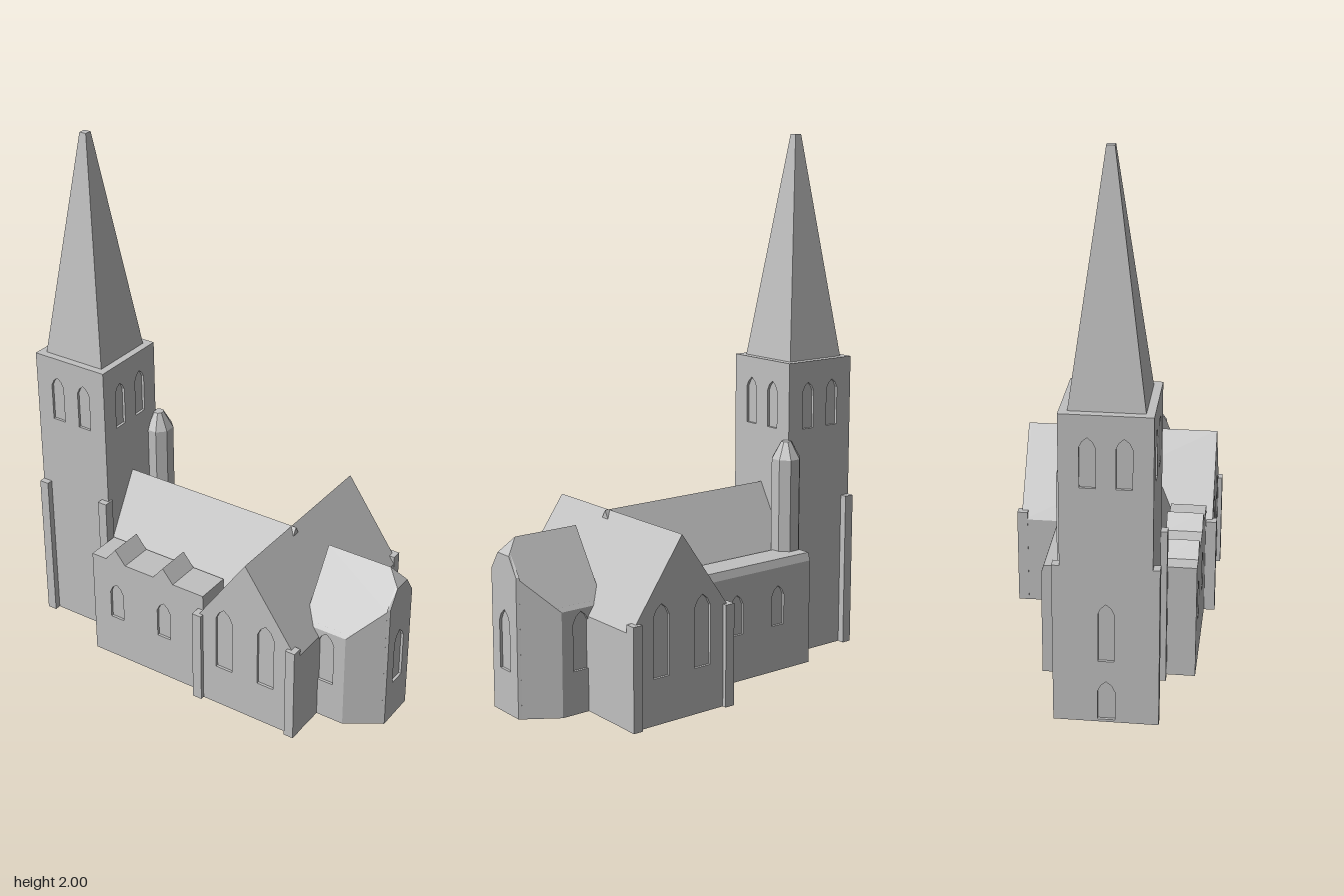
import * as THREE from 'three';
import { ConvexGeometry } from 'three/addons/geometries/ConvexGeometry.js';

const D = 0.01; // depth of the window recesses

export function createModel() {
  const church = new THREE.Group();
  church.name = 'church';
  const stone = new THREE.MeshStandardMaterial({ color: 0xc0c0c0, flatShading: true });
  stone.name = 'stone';

  function add(name, geometry, x = 0, y = 0, z = 0, rotY = 0) {
    const mesh = new THREE.Mesh(geometry, stone);
    mesh.name = name;
    mesh.position.set(x, y, z);
    mesh.rotation.y = rotY;
    church.add(mesh);
    return mesh;
  }

  // box given by its limits
  function block(name, x0, x1, y0, y1, z0, z1) {
    add(name, new THREE.BoxGeometry(x1 - x0, y1 - y0, z1 - z0),
      (x0 + x1) / 2, (y0 + y1) / 2, (z0 + z1) / 2);
  }

  const outline = (pts) => new THREE.Shape(pts.map(([x, y]) => new THREE.Vector2(x, y)));

  // solid of constant section, running from z = 0 to z = depth
  const prism = (pts, depth) =>
    new THREE.ExtrudeGeometry(outline(pts), { depth, bevelEnabled: false });

  // pointed window opening [centre, sill, apex, width]
  function lancet([c, y0, y1, w]) {
    const h = w / 2, spring = y1 - w * 0.65;
    const path = new THREE.Path();
    path.moveTo(c - h, y0);
    path.lineTo(c + h, y0);
    path.lineTo(c + h, spring);
    path.lineTo(c + h * 0.62, spring + (y1 - spring) * 0.6);
    path.lineTo(c, y1);
    path.lineTo(c - h * 0.62, spring + (y1 - spring) * 0.6);
    path.lineTo(c - h, spring);
    path.closePath();
    return path;
  }

  // wall skin with window openings; its outer face lies at local z = 0.
  // "flare" may shift the inner corners to mitre the skin with its neighbours.
  function panel(name, pts, windows, x, z, rotY, flare) {
    const shape = outline(pts);
    shape.holes = windows.map(lancet);
    const g = new THREE.ExtrudeGeometry(shape, { depth: D, bevelEnabled: false });
    g.translate(0, 0, -D);
    if (flare) {
      const p = g.attributes.position, v = new THREE.Vector3();
      for (let i = 0; i < p.count; i++) {
        v.fromBufferAttribute(p, i);
        if (v.z < -D / 2) {
          flare(v);
          p.setXYZ(i, v.x, v.y, v.z);
        }
      }
      g.computeVertexNormals();
    }
    add(name, g, x, 0, z, rotY);
  }

  const rect = (x0, x1, h) => [[x0, 0], [x1, 0], [x1, h], [x0, h]];

  // tower with paired belfry windows on all four sides
  const TX = -0.592, TZ = 0.06, TH = 0.158, TOP = 1.15;
  block('towerCore', TX - TH + D, TX + TH - D, 0, TOP, TZ - TH + D, TZ + TH - D);
  const belfry = [[-0.061, 0.89, 1.07, 0.055], [0.061, 0.89, 1.07, 0.055]];
  for (let i = 0; i < 4; i++) {
    const a = i * Math.PI / 2, half = i % 2 ? TH - D : TH;
    const windows = [...belfry];
    if (i === 3) windows.push([0, 0.24, 0.46, 0.055], [0, 0.01, 0.16, 0.06]); // west window and door
    panel('towerWall', rect(-half, half, TOP), windows,
      TX + Math.sin(a) * TH, TZ + Math.cos(a) * TH, a);
  }

  // spire
  const spire = new THREE.CylinderGeometry(0.014 * Math.SQRT2, 0.129 * Math.SQRT2, 0.85, 4);
  spire.rotateY(Math.PI / 4);
  add('spire', spire, TX, TOP + 0.425, TZ);

  // tower buttresses
  block('towerButtress', -0.75, -0.712, 0, 0.6, 0.2, 0.242);
  block('towerButtress', -0.465, -0.428, 0, 0.6, 0.2, 0.242);
  block('towerButtress', -0.75, -0.712, 0, 0.6, -0.125, -0.08);

  // stair turret
  const shaft = new THREE.CylinderGeometry(0.057, 0.057, 0.79, 8);
  const cap = new THREE.CylinderGeometry(0.02, 0.057, 0.065, 8);
  shaft.rotateY(Math.PI / 8);
  cap.rotateY(Math.PI / 8);
  add('stairTurret', shaft, -0.42, 0.395, -0.1);
  add('stairTurretCap', cap, -0.42, 0.8225, -0.1);

  // nave
  add('nave', prism([[-0.15, 0], [0.15, 0], [0.15, 0.405], [0, 0.667], [-0.15, 0.405]], 0.75),
    -0.44, 0, TZ, Math.PI / 2);

  // front aisle with two gablets running across its flat roof
  const aislePts = [[-0.42, 0], [0.09, 0], [0.09, 0.44]];
  for (const c of [-0.09, -0.31]) aislePts.push([c + 0.045, 0.44], [c, 0.495], [c - 0.045, 0.44]);
  aislePts.push([-0.42, 0.44]);
  const aisleWindows = [[-0.31, 0.18, 0.335, 0.06], [-0.09, 0.18, 0.335, 0.06]];
  add('frontAisle', prism(aislePts, 0.135 - D), 0, 0, 0.21);
  panel('frontAisleWall', aislePts, aisleWindows, 0, 0.345, 0);

  // back aisle with a chamfered wall head
  block('backAisle', -0.45, 0.09, 0, 0.435, -0.21 + D, -0.09);
  panel('backAisleWall', rect(-0.09, 0.45, 0.405),
    [[0.09, 0.18, 0.335, 0.06], [0.29, 0.18, 0.335, 0.06]], 0, -0.21, Math.PI,
    (v) => { if (v.y > 0.4) v.y = 0.435; });

  // transept with a gabled wall at each end
  const gable = [[-0.22, 0], [0.22, 0], [0.22, 0.35], [0, 0.665], [-0.22, 0.35]];
  const gableWindows = [[-0.09, 0.17, 0.435, 0.07], [0.09, 0.17, 0.435, 0.07]];
  add('transept', prism(gable, 0.74 - 2 * D), 0.29, 0, -0.37 + D);
  panel('transeptFrontWall', gable, gableWindows, 0.29, 0.37, 0);
  panel('transeptBackWall', gable, gableWindows, 0.29, -0.37, Math.PI);
  for (const sx of [-1, 1]) for (const sz of [-1, 1]) {
    add('transeptButtress', new THREE.BoxGeometry(0.038, 0.38, 0.04),
      0.29 + sx * 0.202, 0.19, sz * 0.366);
  }

  // apse core: straight sides, canted corners and a small hip at the end
  const AZ = 0.05;
  const roofY = (z) => 0.635 - 1.515 * z;
  const pts = [new THREE.Vector3(0.445, 0.635, 0), new THREE.Vector3(0.7, 0.635, 0)];
  for (const s of [-1, 1]) {
    for (const [x, z] of [[0.445, 0.165 - D], [0.6353, 0.165 - D], [0.75 - D, 0.0865]]) {
      pts.push(new THREE.Vector3(x, 0, s * z), new THREE.Vector3(x, roofY(z), s * z));
    }
    pts.push(new THREE.Vector3(0.75 - D, 0.591, s * 0.029));
  }
  add('apse', new ConvexGeometry(pts), 0, 0, AZ);

  // apse walls, mitred at the canted corners
  for (const s of [-1, 1]) {
    panel('apseSideWall', rect(s * 0.445, s * 0.62, 0.385), [[s * 0.54, 0.16, 0.375, 0.066]],
      0, AZ + s * 0.165, s > 0 ? 0 : Math.PI, (v) => {
        if (v.x * s > 0.61) v.x += s * 0.0153;
        if (v.y > 0.38) v.y += 0.015;
      });
  }
  panel('apseEndWall',
    [[-0.08, 0], [0.08, 0], [0.08, 0.514], [0.036, 0.58], [-0.036, 0.58], [-0.08, 0.514]],
    [[0, 0.16, 0.38, 0.066]], 0.75, AZ, Math.PI / 2, (v) => {
      if (Math.abs(v.x) > 0.07) v.x *= 1.08;
      if (v.y > 0.57) { v.y = 0.591; v.x *= 0.8; }
    });

  return church;
}
